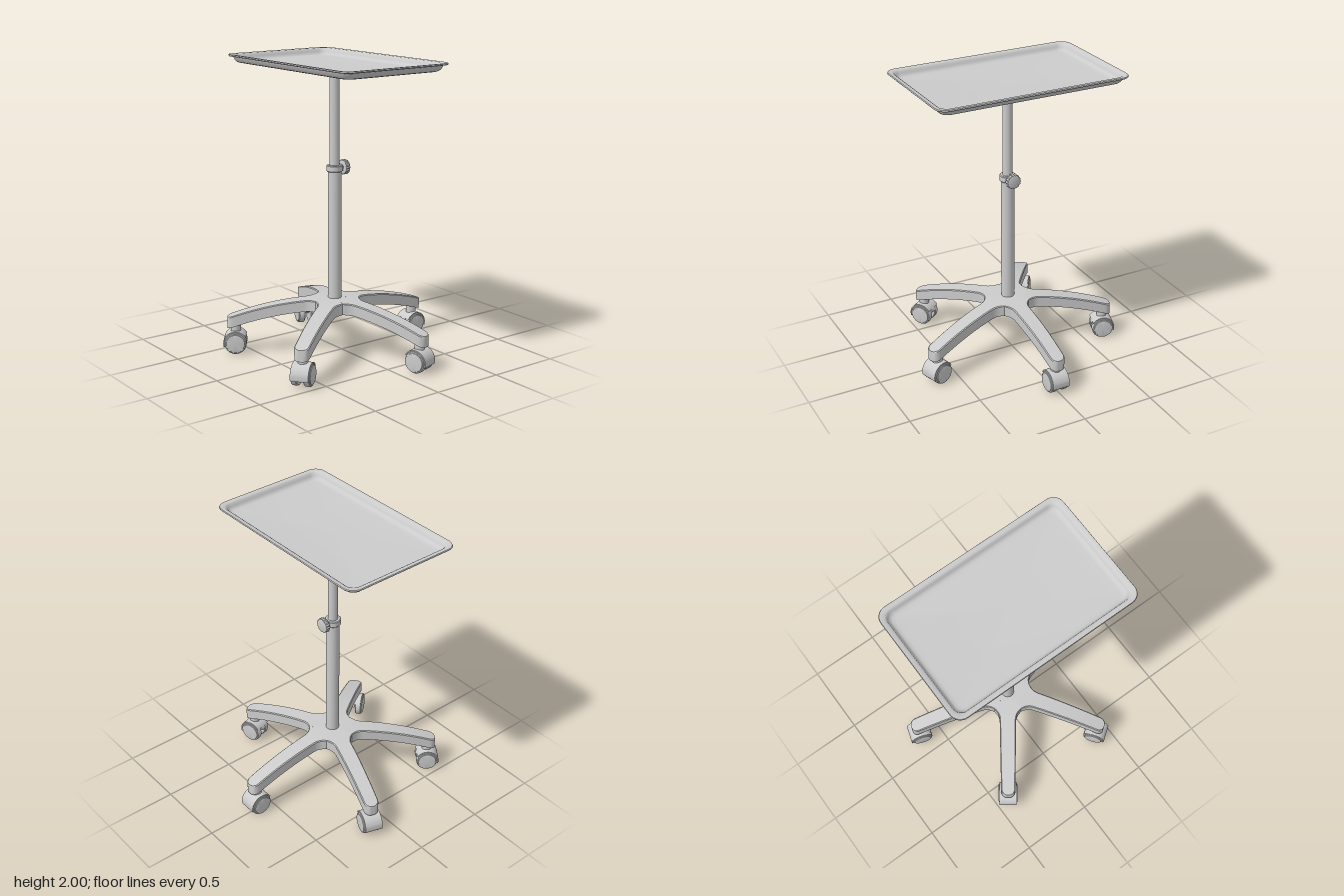
import * as THREE from 'three';
import { toCreasedNormals } from 'three/addons/utils/BufferGeometryUtils.js';

const grey = new THREE.MeshStandardMaterial({ color: 0xcccccc });

function part(name, geometry, x = 0, y = 0, z = 0) {
  const mesh = new THREE.Mesh(geometry, grey);
  mesh.name = name;
  mesh.position.set(x, y, z);
  return mesh;
}

// Closed skin over a list of rings (arrays of Vector3), capped at both ends
function loft(rings, crease) {
  const pos = [];
  const tri = (...pts) => pts.forEach((p) => pos.push(p.x, p.y, p.z));
  const n = rings[0].length;
  const middle = (ring) => ring.reduce((s, p) => s.add(p), new THREE.Vector3()).divideScalar(n);
  const first = rings[0], last = rings[rings.length - 1];
  const c0 = middle(first), c1 = middle(last);
  for (let j = 0; j < n; j++) {
    const k = (j + 1) % n;
    for (let i = 0; i < rings.length - 1; i++) {
      const a = rings[i], b = rings[i + 1];
      tri(a[j], b[j], b[k]);
      tri(a[j], b[k], a[k]);
    }
    tri(c0, first[j], first[k]);
    tri(c1, last[k], last[j]);
  }
  const geo = new THREE.BufferGeometry();
  geo.setAttribute('position', new THREE.Float32BufferAttribute(pos, 3));
  return toCreasedNormals(geo, crease);
}

// Rounded-rectangle tray: underside, wall, rolled lip, then dished floor
function trayGeometry() {
  const profile = [ // inset from the rim, height
    [0.085, 1.943], [0.065, 1.944], [0.048, 1.950], [0.036, 1.963], [0.028, 1.984],
    [0.004, 1.988], [0, 1.993], [0.003, 2.0], [0.030, 1.998], [0.038, 1.992],
    [0.044, 1.975], [0.052, 1.961], [0.064, 1.954], [0.085, 1.952],
  ];
  const rings = profile.map(([inset, y]) => {
    const hx = 0.675 - inset, hz = 0.425 - inset, r = 0.075 - inset * 0.45;
    const ring = [];
    for (let q = 0; q < 4; q++) {
      const sx = q === 0 || q === 3 ? 1 : -1, sz = q < 2 ? 1 : -1;
      for (let s = 0; s <= 8; s++) {
        const a = (q + s / 8) * Math.PI / 2;
        ring.push(new THREE.Vector3(sx * (hx - r) + r * Math.cos(a), y, sz * (hz - r) + r * Math.sin(a)));
      }
    }
    return ring;
  });
  return loft(rings, 0.7);
}

// One fifth of the star base: hub wedge, fillet, arched arm and rounded end
const LENGTH = 0.73, CROTCH = 0.13, FILLET_END = 0.212;
const armTop = (r) => 0.386 - 0.135 * (r / LENGTH) ** 2;

function armHalfWidth(r) {
  const straight = 0.058 - 0.008 * Math.max(0, (r - FILLET_END) / (LENGTH - FILLET_END));
  if (r <= CROTCH) return r * Math.tan(Math.PI / 5);
  if (r < FILLET_END) return straight + 0.1 - Math.sqrt(0.01 - (FILLET_END - r) ** 2);
  const past = Math.max(0, r - (LENGTH - 0.04));
  return straight - 0.04 + Math.sqrt(Math.max(0, 0.0016 - past * past));
}

function armGeometry() {
  const stations = [0.001, 0.05, 0.09, CROTCH];
  for (let i = 1; i <= 8; i++) stations.push(CROTCH + (FILLET_END - CROTCH) * i / 8);
  for (let i = 1; i <= 16; i++) stations.push(FILLET_END + (LENGTH - 0.04 - FILLET_END) * i / 16);
  for (let i = 1; i <= 8; i++) stations.push(LENGTH - 0.04 + 0.04 * Math.sin(i / 8 * Math.PI / 2));
  const rings = stations.map((r) => {
    const w = armHalfWidth(r), t = armTop(r), b = t - 0.077;
    const c = r <= CROTCH ? 0.0005 * Math.min(1, r) : 0.006;
    return [[-w, b], [-w, t - c], [c - w, t], [w - c, t], [w, t - c], [w, b]]
      .map(([x, y]) => new THREE.Vector3(x, y, r));
  });
  return loft(rings, 0.5);
}

// Twin-wheel caster, hood facing outward along +z
const AXLE = 0.075;

function hoodGeometry(inner, outer, from, to, width) {
  const shape = new THREE.Shape();
  shape.absarc(0, 0, outer, from, to, false);
  if (inner > 0) shape.absarc(0, 0, inner, to, from, true);
  const geo = new THREE.ExtrudeGeometry(shape, { depth: width, bevelEnabled: false, curveSegments: 28 });
  geo.translate(0, 0, -width / 2).rotateY(-Math.PI / 2);
  return toCreasedNormals(geo, 0.6);
}

function makeCaster() {
  const caster = new THREE.Group();
  caster.name = 'caster';
  caster.add(part('casterStem', new THREE.CylinderGeometry(0.034, 0.034, 0.07, 28), 0, 0.175, 0));
  caster.add(part('casterHood', hoodGeometry(0.0755, 0.083, -0.3, 2.6, 0.122), 0, AXLE, 0));
  caster.add(part('casterBody', hoodGeometry(0, 0.08, -0.3, 2.9, 0.04), 0, AXLE, 0));
  caster.add(part('casterAxle', new THREE.CylinderGeometry(0.014, 0.014, 0.12, 16).rotateZ(Math.PI / 2), 0, AXLE, 0));
  // Rounded wheel with a raised outer disc
  const outline = [[0, 0], [0.069, 0], [0.075, 0.006], [0.075, 0.034], [0.071, 0.041], [0.064, 0.043], [0.062, 0.047], [0, 0.047]]
    .map(([r, h]) => new THREE.Vector2(r, h));
  const wheel = toCreasedNormals(new THREE.LatheGeometry(outline, 36), 0.6);
  for (const side of [-1, 1]) {
    const mesh = part('casterWheel', wheel, side * 0.021, AXLE, 0);
    mesh.rotation.z = -side * Math.PI / 2;
    caster.add(mesh);
  }
  return caster;
}

// Fluted clamp knob
function knobGeometry() {
  const pts = [];
  for (let i = 0; i < 96; i++) {
    const a = i / 96 * Math.PI * 2, r = 0.044 + 0.0025 * Math.cos(a * 16);
    pts.push(new THREE.Vector2(r * Math.cos(a), r * Math.sin(a)));
  }
  return new THREE.ExtrudeGeometry(new THREE.Shape(pts), {
    depth: 0.026, bevelSize: 0.004, bevelThickness: 0.004, bevelSegments: 2,
  });
}

export function createModel() {
  const model = new THREE.Group();
  model.name = 'trayStand';
  const stand = new THREE.Group();
  stand.name = 'stand';
  stand.position.z = 0.058;
  model.add(stand);

  // Five arms with casters, one pointing straight back
  const arm = armGeometry();
  for (let i = 0; i < 5; i++) {
    const leg = new THREE.Group();
    leg.name = 'leg';
    leg.rotation.y = Math.PI + i * Math.PI * 2 / 5;
    const caster = makeCaster();
    caster.position.z = 0.675;
    leg.add(part('baseArm', arm), caster);
    stand.add(leg);
  }

  // Telescoping column with collar and clamp
  stand.add(part('lowerColumn', new THREE.CylinderGeometry(0.045, 0.045, 0.9, 40), 0, 0.81, 0));
  stand.add(part('upperColumn', new THREE.CylinderGeometry(0.033, 0.033, 0.7, 36), 0, 1.596, 0));
  const collar = [[0, -0.022], [0.049, -0.022], [0.054, -0.017], [0.054, 0.017], [0.049, 0.022], [0, 0.022]]
    .map(([r, h]) => new THREE.Vector2(r, h));
  stand.add(part('collar', toCreasedNormals(new THREE.LatheGeometry(collar, 40), 0.5), 0, 1.275, 0));
  stand.add(part('clampScrew', new THREE.CylinderGeometry(0.016, 0.016, 0.05, 20).rotateX(Math.PI / 2), 0, 1.275, -0.055));
  stand.add(part('clampKnob', toCreasedNormals(knobGeometry(), 0.6), 0, 1.275, -0.091));

  stand.add(part('tray', trayGeometry(), 0, 0, -0.002));
  return model;
}
